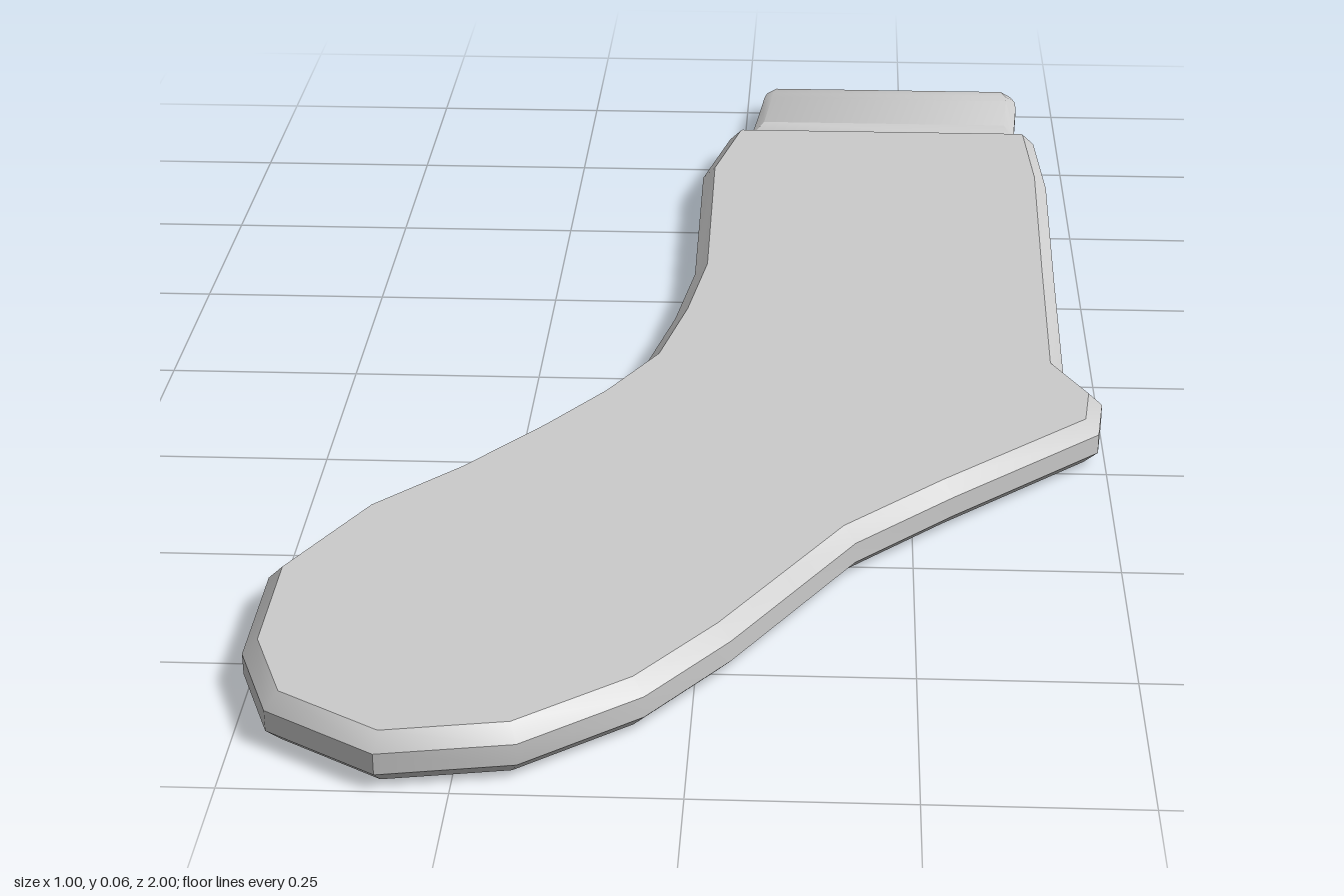
import * as THREE from 'three';
import { toCreasedNormals } from 'three/addons/utils/BufferGeometryUtils.js';

const MID = 0.031; // half thickness of the sock
const BEVEL = 0.018;
const CREASE = 0.7;

// Plan outline of leg, heel and foot as [x, z]
const OUTLINE = [
  [-0.01, -0.785], [-0.02, -0.77], [-0.055, -0.61], [-0.05, -0.25], [-0.07, -0.1], [-0.1, 0.04],
  [-0.16, 0.15], [-0.23, 0.25], [-0.32, 0.365], [-0.42, 0.47],
  [-0.505, 0.63], [-0.505, 0.8], [-0.46, 0.915], [-0.33, 0.995],
  [-0.18, 0.97], [-0.05, 0.87], [0.04, 0.75], [0.11, 0.635], [0.18, 0.52],
  [0.3, 0.4], [0.49, 0.225], [0.5, 0.14], [0.455, 0.05],
  [0.46, -0.25], [0.467, -0.59], [0.457, -0.77], [0.447, -0.785],
];

// Cuff sections: z, left x, right x, half height
const CUFF = [
  [-1.0, 0.038, 0.425, 0.010], [-0.99, 0.032, 0.431, 0.016],
  [-0.965, 0.028, 0.437, 0.018], [-0.93, 0.026, 0.437, 0.023],
  [-0.82, 0.016, 0.429, 0.024], [-0.785, 0.0, 0.44, 0.017], [-0.74, 0.0, 0.44, 0.017],
];

function bodyGeometry() {
  const shape = new THREE.Shape(OUTLINE.map(([x, z]) => new THREE.Vector2(x, -z)));
  const depth = 2 * (MID - BEVEL);
  const geo = new THREE.ExtrudeGeometry(shape, {
    depth, bevelEnabled: true, bevelThickness: BEVEL, bevelSize: BEVEL,
    bevelOffset: -BEVEL, bevelSegments: 1,
  });
  geo.rotateX(-Math.PI / 2);
  geo.translate(0, BEVEL, 0);
  return toCreasedNormals(geo, CREASE);
}

// Flattened eight-sided sections joined along z
function cuffGeometry() {
  const positions = [], index = [];
  for (const [z, x0, x1, h] of CUFF) {
    const b = 0.016, k = h * 0.45;
    const ring = [[x1, -k], [x1, k], [x1 - b, h], [x0 + b, h], [x0, k], [x0, -k], [x0 + b, -h], [x1 - b, -h]];
    for (const [x, y] of ring) positions.push(x, MID + y, z);
  }
  for (let i = 0; i < CUFF.length - 1; i++) {
    for (let j = 0; j < 8; j++) {
      const a = i * 8 + j, b = i * 8 + (j + 1) % 8;
      index.push(a, b, a + 8, b, b + 8, a + 8);
    }
  }
  for (let j = 1; j < 7; j++) index.push(0, j + 1, j); // closed end
  const geo = new THREE.BufferGeometry();
  geo.setAttribute('position', new THREE.Float32BufferAttribute(positions, 3));
  geo.setIndex(index);
  return toCreasedNormals(geo, CREASE);
}

export function createModel() {
  const group = new THREE.Group();
  group.name = 'sock';
  const material = new THREE.MeshStandardMaterial({ color: 0xcccccc });
  const add = (name, geometry) => {
    const mesh = new THREE.Mesh(geometry, material);
    mesh.name = name;
    group.add(mesh);
  };
  add('legAndFoot', bodyGeometry());
  add('cuff', cuffGeometry());
  return group;
}
